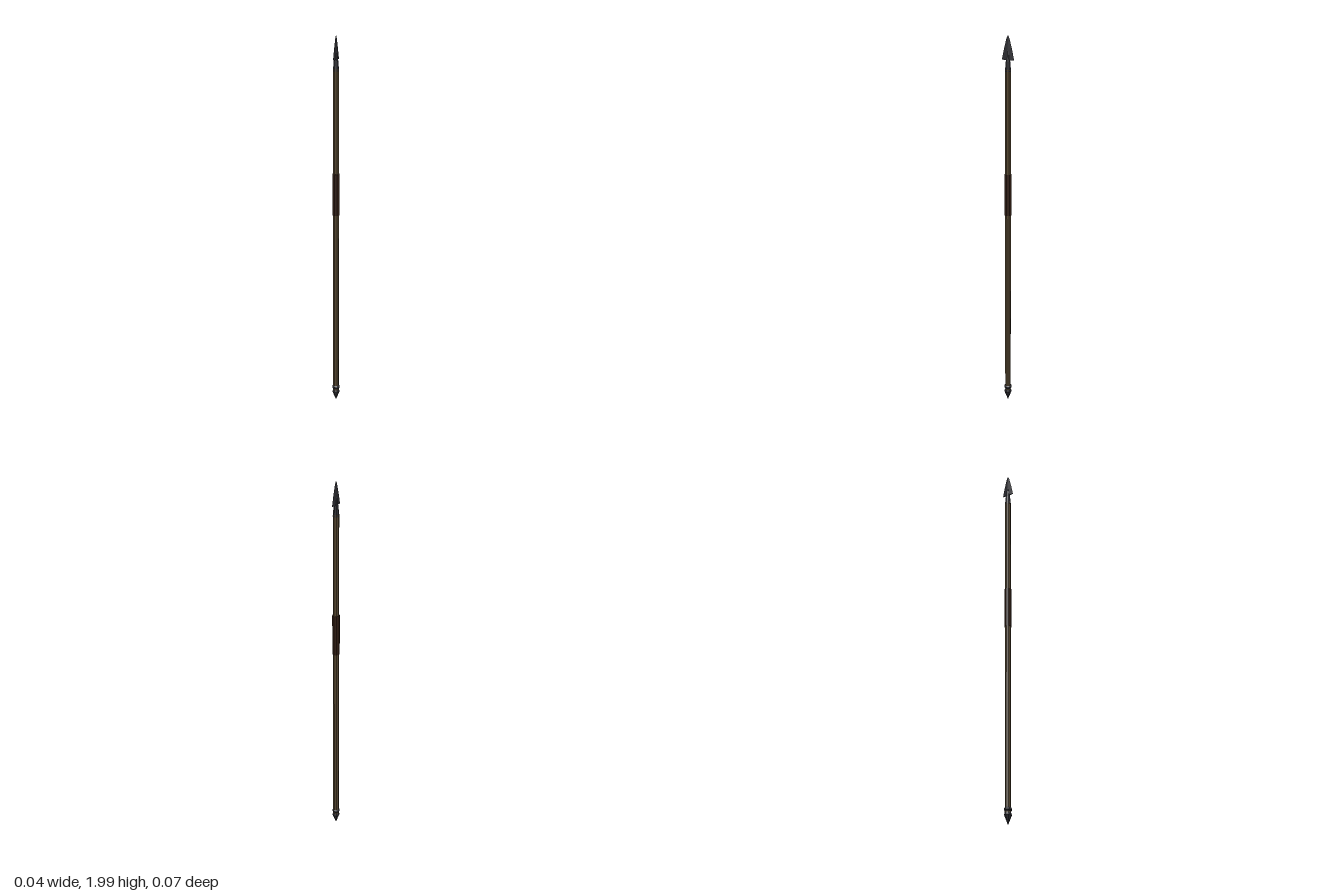
import * as THREE from 'three';

const SIDES = 8;
const material = (color) => new THREE.MeshStandardMaterial({ color, flatShading: true });

export function createModel() {
  const model = new THREE.Group();
  const wood = material(0x4f412b);
  const leather = material(0x2c1a10);
  const metal = material(0x2b2b30);

  const add = (name, geometry, mat) => {
    const mesh = new THREE.Mesh(geometry, mat);
    mesh.name = name;
    model.add(mesh);
    return mesh;
  };
  // Turned part from [radius, height] points, listed bottom to top
  const turned = (name, points, mat) =>
    add(name, new THREE.LatheGeometry(points.map(([r, y]) => new THREE.Vector2(r, y)), SIDES), mat);

  turned('shaft', [[0, 0.06], [0.016, 0.06], [0.016, 1.83], [0, 1.83]], wood);
  turned('grip', [[0, 1.07], [0.0195, 1.07], [0.0195, 1.29], [0, 1.29]], leather);

  // Socket that narrows into the blade
  turned('socket', [[0, 1.82], [0.0165, 1.82], [0.012, 1.87], [0.003, 1.935], [0, 1.935]], metal);

  // Pointed foot with a collar ring
  turned('buttSpike', [[0, 0.01], [0.02, 0.06], [0.014, 0.078], [0, 0.078]], metal);
  turned('buttCollar', [[0, 0.076], [0.014, 0.076], [0.02, 0.084], [0.02, 0.092], [0.014, 0.1], [0, 0.1]], metal);

  // Blade: diamond cross-sections as [height, half thickness, half width]
  const sections = [[1.877, 0, 0], [1.877, 0.006, 0.033], [1.93, 0.004, 0.022], [1.985, 0.0015, 0.008], [2, 0, 0]];
  const positions = [];
  const index = [];
  sections.forEach(([y, t, w], i) => {
    positions.push(t, y, 0, 0, y, -w, -t, y, 0, 0, y, w);
    if (i === 0) return;
    for (let k = 0; k < 4; k++) {
      const a = (i - 1) * 4 + k, b = (i - 1) * 4 + (k + 1) % 4;
      index.push(a, b, b + 4, a, b + 4, a + 4);
    }
  });
  const blade = new THREE.BufferGeometry();
  blade.setAttribute('position', new THREE.Float32BufferAttribute(positions, 3));
  blade.setIndex(index);
  blade.computeVertexNormals();
  add('blade', blade, metal);

  return model;
}
